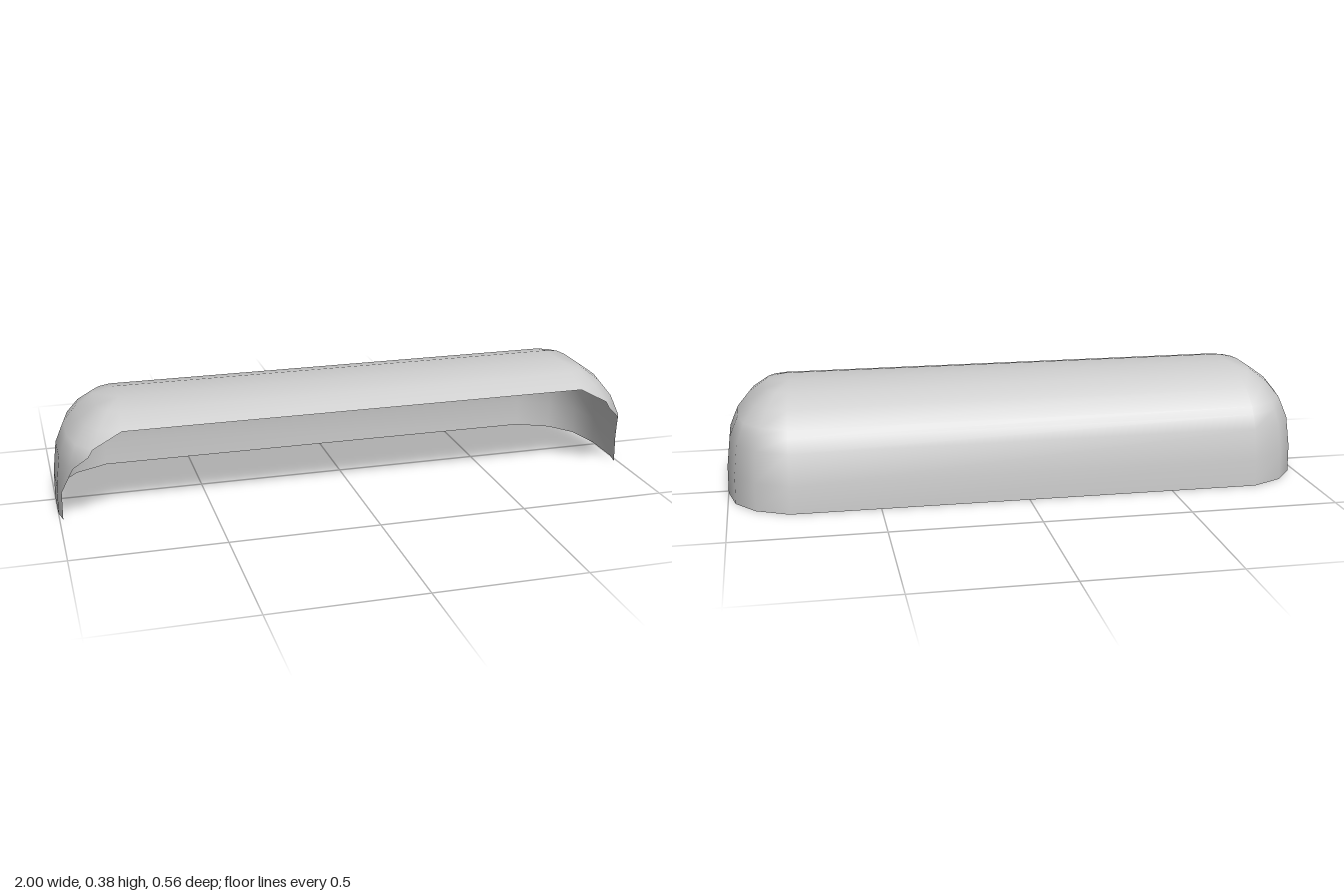
import * as THREE from 'three';
import { mergeVertices } from 'three/addons/utils/BufferGeometryUtils.js';

// Flat core of the crown, and the offsets that round one corner around it
const CORE_X = 0.78, CORE_Z = 0.058, CENTRE_Z = 0.053;
const CORNER = [[0.02, 0.275], [0.13, 0.22], [0.195, 0.135], [0.22, 0.015]];

// Height of each ring and how far it spreads from the core
const RINGS = [[0, 1], [0.095, 0.994], [0.2, 0.935], [0.245, 0.85], [0.27, 0.8],
  [0.321, 0.61], [0.363, 0.345], [0.383, 0]];
const LIP_Y = 0.321;

// Furthest forward the side walls reach at a height
function frontLimit(y) {
  if (y >= LIP_Y) return Infinity;
  const t = THREE.MathUtils.clamp((y - 0.095) / 0.15, 0, 1);
  return THREE.MathUtils.lerp(0.181, 0.283, t);
}

// Half of a ring, from back middle round the end to the front, cut at the limit
function halfRing(y, spread) {
  const corner = (side) => CORNER.map(([dx, dz]) =>
    [CORE_X + dx * spread, CENTRE_Z + side * (CORE_Z + dz * spread)]);
  const points = [...corner(-1), ...corner(1).reverse()];
  const limit = frontLimit(y);
  const first = points.findIndex((p) => p[1] > limit);
  if (first < 0) return points;
  const [a, b] = [points[first - 1], points[first]];
  const t = (limit - a[1]) / (b[1] - a[1]);
  const cut = [a[0] + (b[0] - a[0]) * t, limit];
  return points.map((p, i) => (i < first ? p : cut));
}

function shellGeometry() {
  const positions = [], index = [], n = CORNER.length * 4;
  for (const [y, spread] of RINGS) {
    const half = halfRing(y, spread);
    const mirrored = half.map(([x, z]) => [-x, z]).reverse();
    for (const [x, z] of [...half, ...mirrored]) positions.push(x, y, z);
  }
  for (let r = 0; r < RINGS.length - 1; r++) {
    for (let j = 0; j < n; j++) {
      // The front stays open below the lip
      if (j === n / 2 - 1 && RINGS[r][0] < LIP_Y) continue;
      const a = r * n + j, b = r * n + (j + 1) % n;
      index.push(a, a + n, b, b, a + n, b + n);
    }
  }
  // Flat crown
  const top = (RINGS.length - 1) * n;
  index.push(top + 3, top + 11, top + 4, top + 3, top + 12, top + 11);

  let geometry = new THREE.BufferGeometry();
  geometry.setAttribute('position', new THREE.Float32BufferAttribute(positions, 3));
  geometry.setIndex(index);
  geometry = mergeVertices(geometry, 1e-5);
  // Drop triangles collapsed by the cut
  const merged = Array.from(geometry.index.array), kept = [];
  for (let i = 0; i < merged.length; i += 3) {
    const [a, b, c] = merged.slice(i, i + 3);
    if (a !== b && b !== c && c !== a) kept.push(a, b, c);
  }
  geometry.setIndex(kept);
  geometry.computeVertexNormals();
  return geometry;
}

export function createModel() {
  const group = new THREE.Group();
  group.name = 'openHood';
  const grey = new THREE.MeshStandardMaterial({ color: 0xcccccc, side: THREE.DoubleSide });
  grey.name = 'light grey';
  const shell = new THREE.Mesh(shellGeometry(), grey);
  shell.name = 'hoodShell';
  group.add(shell);
  return group;
}
